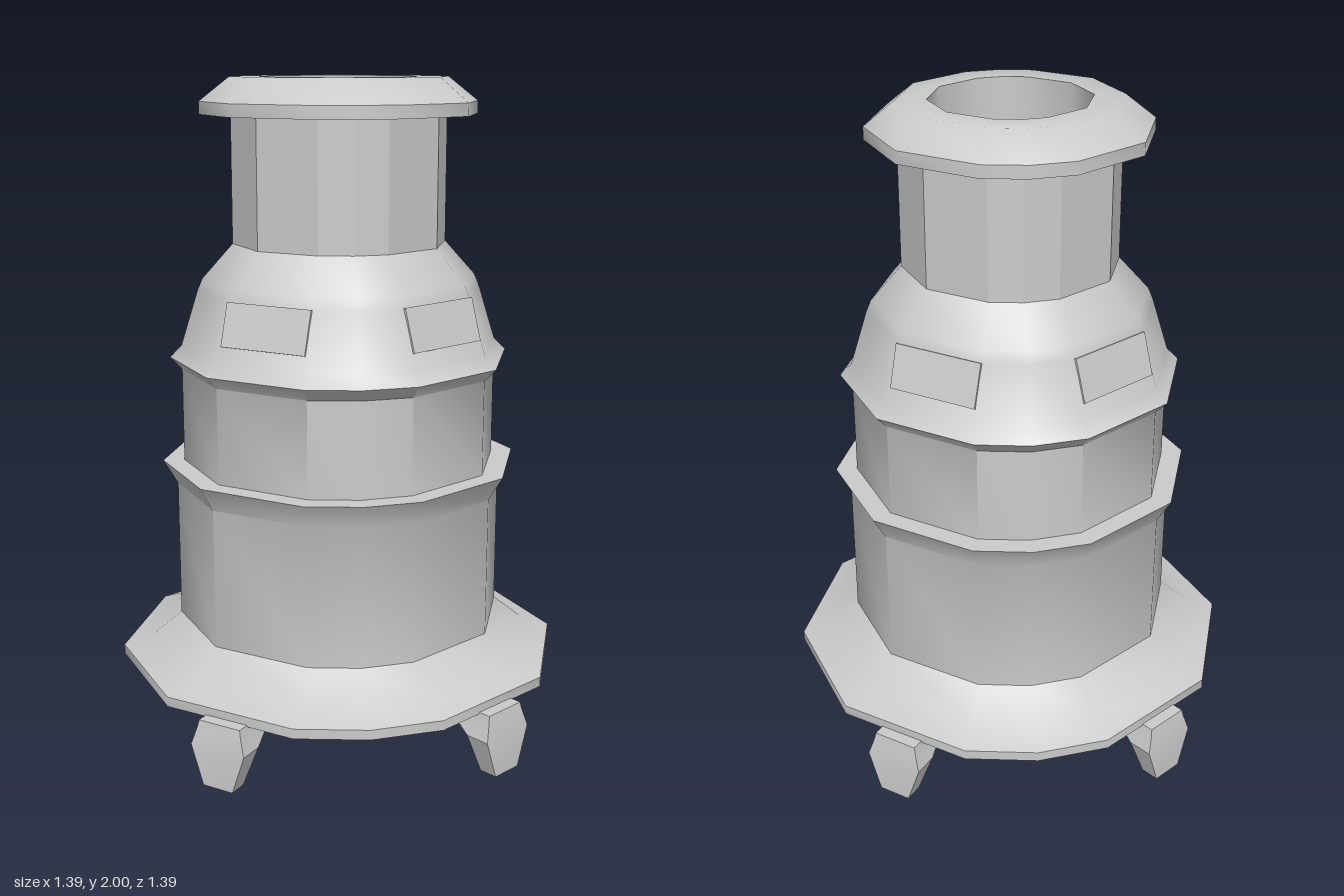
import * as THREE from 'three';
import { toCreasedNormals } from 'three/addons/utils/BufferGeometryUtils.js';

const material = new THREE.MeshStandardMaterial({ color: 0xcccccc });

// Ten-sided ring with one extra corner at the front and one at the back.
const cornerAngles = [0, 18, 54, 90, 126, 162, 180, 198, 234, 270, 306, 342, 360];

function turned(name, profile, crease) {
  const points = profile.map(([r, y]) => new THREE.Vector2(r, y));
  const geometry = new THREE.LatheGeometry(points, 12);
  const pos = geometry.attributes.position;
  for (let i = 0; i <= 12; i++) {
    const a = THREE.MathUtils.degToRad(cornerAngles[i]);
    points.forEach((p, j) => {
      pos.setXYZ(i * points.length + j, p.x * Math.sin(a), p.y, p.x * Math.cos(a));
    });
  }
  const mesh = new THREE.Mesh(toCreasedNormals(geometry, crease), material);
  mesh.name = name;
  return mesh;
}

// Foot: a box lofted through [y, inner distance, outer distance, half width].
const footSections = [
  [0, 0.655, 0.713, 0.05],
  [0.12, 0.635, 0.713, 0.091],
  [0.175, 0.54, 0.703, 0.074],
  [0.195, 0.535, 0.70, 0.07],
];

function footGeometry() {
  const geometry = new THREE.BoxGeometry(1, 3, 1, 1, 3, 1);
  const pos = geometry.attributes.position;
  for (let i = 0; i < pos.count; i++) {
    const [y, inner, outer, half] = footSections[Math.round(pos.getY(i) + 1.5)];
    pos.setXYZ(i, Math.sign(pos.getX(i)) * half, y, pos.getZ(i) > 0 ? outer : inner);
  }
  return toCreasedNormals(geometry, 0.2);
}

export function createModel() {
  const group = new THREE.Group();

  // Flared base, lower drum, ledge, upper drum, bead and shoulder
  group.add(turned('body', [
    [0, 0.19], [0.697, 0.19], [0.697, 0.22], [0.6, 0.255], [0.512, 0.325],
    [0.512, 0.755], [0.556, 0.83], [0.49, 0.83], [0.49, 1.12],
    [0.526, 1.158], [0.49, 1.195], [0.437, 1.365], [0.422, 1.4], [0.328, 1.505], [0.3, 1.505],
  ], 0.75));

  // Faceted neck
  group.add(turned('neck', [[0.328, 1.5], [0.328, 1.895]], 0.1));

  // Bevelled rim with the open bore
  group.add(turned('rim', [
    [0.3, 1.89], [0.422, 1.89], [0.422, 1.928], [0.33, 2],
    [0.24, 2], [0.24, 1.52], [0, 1.52],
  ], 0.75));

  // Panels on the shoulder and feet under the base, one per diagonal
  const foot = footGeometry();
  const panel = new THREE.BoxGeometry(0.28, 0.131, 0.03);
  for (const front of [true, false]) {
    for (const side of [1, -1]) {
      const turn = (deg) => {
        const a = THREE.MathUtils.degToRad(deg);
        return side * (front ? a : Math.PI - a);
      };

      const footMesh = new THREE.Mesh(foot, material);
      footMesh.name = 'foot';
      footMesh.rotation.y = turn(36.7);
      group.add(footMesh);

      const panelMesh = new THREE.Mesh(panel, material);
      panelMesh.name = 'panel';
      panelMesh.position.set(0, 1.302, 0.424);
      panelMesh.rotation.x = -0.295;
      const panelPivot = new THREE.Group();
      panelPivot.name = 'shoulderPanel';
      panelPivot.rotation.y = turn(36);
      panelPivot.add(panelMesh);
      group.add(panelPivot);
    }
  }
  return group;
}
